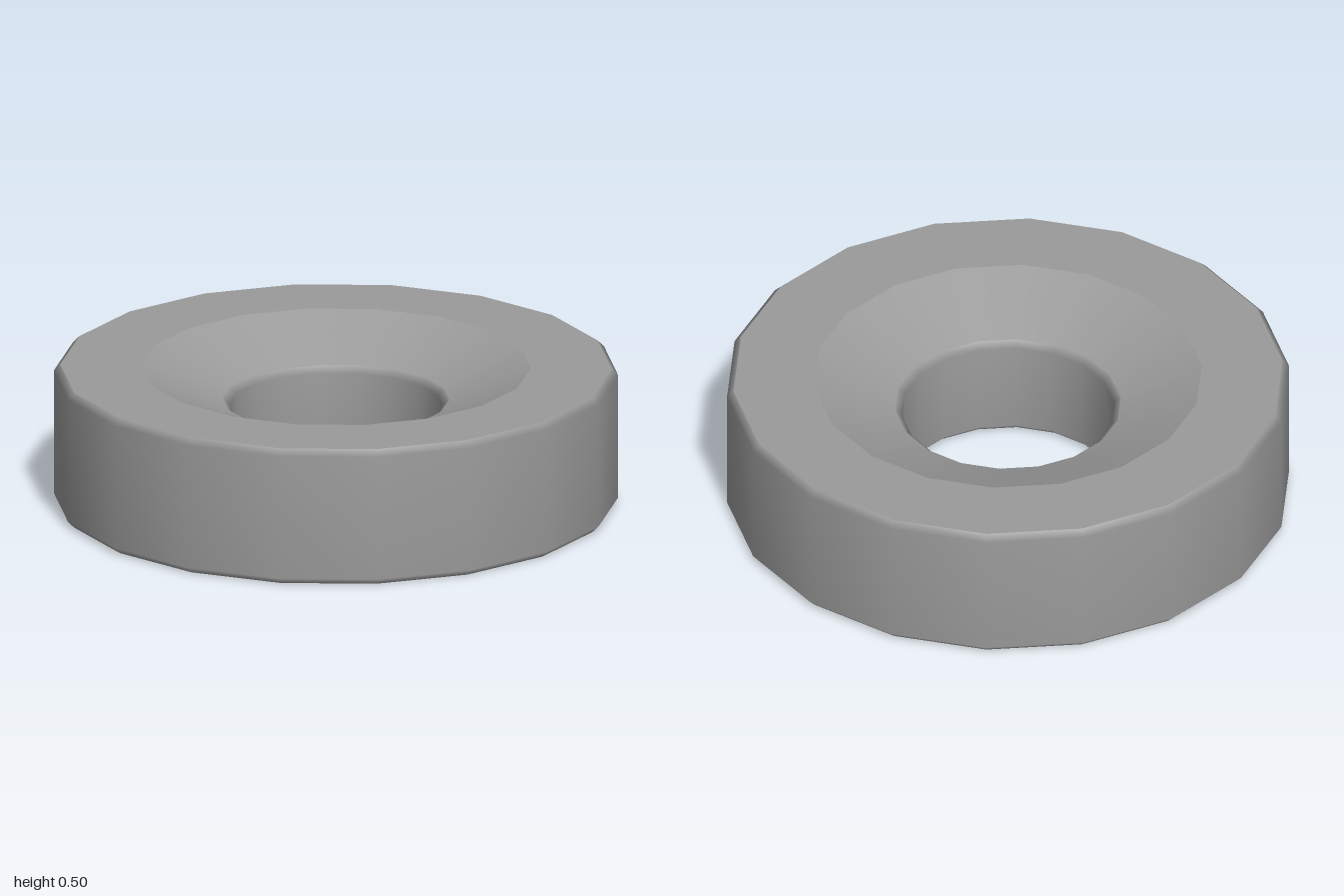
import * as THREE from 'three';

const SIDES = 18;
const HEIGHT = 0.5;
const BEVEL = 0.023;
const OUTER = 1;
const BORE = 0.378;
const DISH = 0.69;        // radius of the dish at the top face
const DISH_FLOOR = 0.38;  // height where the dish meets the bore

// Each band is smooth within itself; its ends meet the next band at a sharp edge
const BANDS = {
  underside: [[BORE + BEVEL, 0], [OUTER - BEVEL, 0]],
  outerWall: [
    [OUTER - BEVEL, 0],
    [OUTER, BEVEL],
    [OUTER, HEIGHT - BEVEL],
    [OUTER - BEVEL, HEIGHT],
  ],
  topFace: [[OUTER - BEVEL, HEIGHT], [DISH, HEIGHT]],
  dish: [[DISH, HEIGHT], [BORE + BEVEL, DISH_FLOOR]],
  bore: [
    [BORE + BEVEL, DISH_FLOOR],
    [BORE, DISH_FLOOR - BEVEL],
    [BORE, BEVEL],
    [BORE + BEVEL, 0],
  ],
};

export function createModel() {
  const group = new THREE.Group();
  group.name = 'dishedRing';
  const material = new THREE.MeshStandardMaterial({ color: 0x9b9b9b });

  // Profiles run outward below, up the outside, inward on top and down the bore
  for (const [name, points] of Object.entries(BANDS)) {
    const profile = points.map(([r, y]) => new THREE.Vector2(r, y));
    const band = new THREE.Mesh(new THREE.LatheGeometry(profile, SIDES), material);
    band.name = name;
    group.add(band);
  }
  return group;
}
